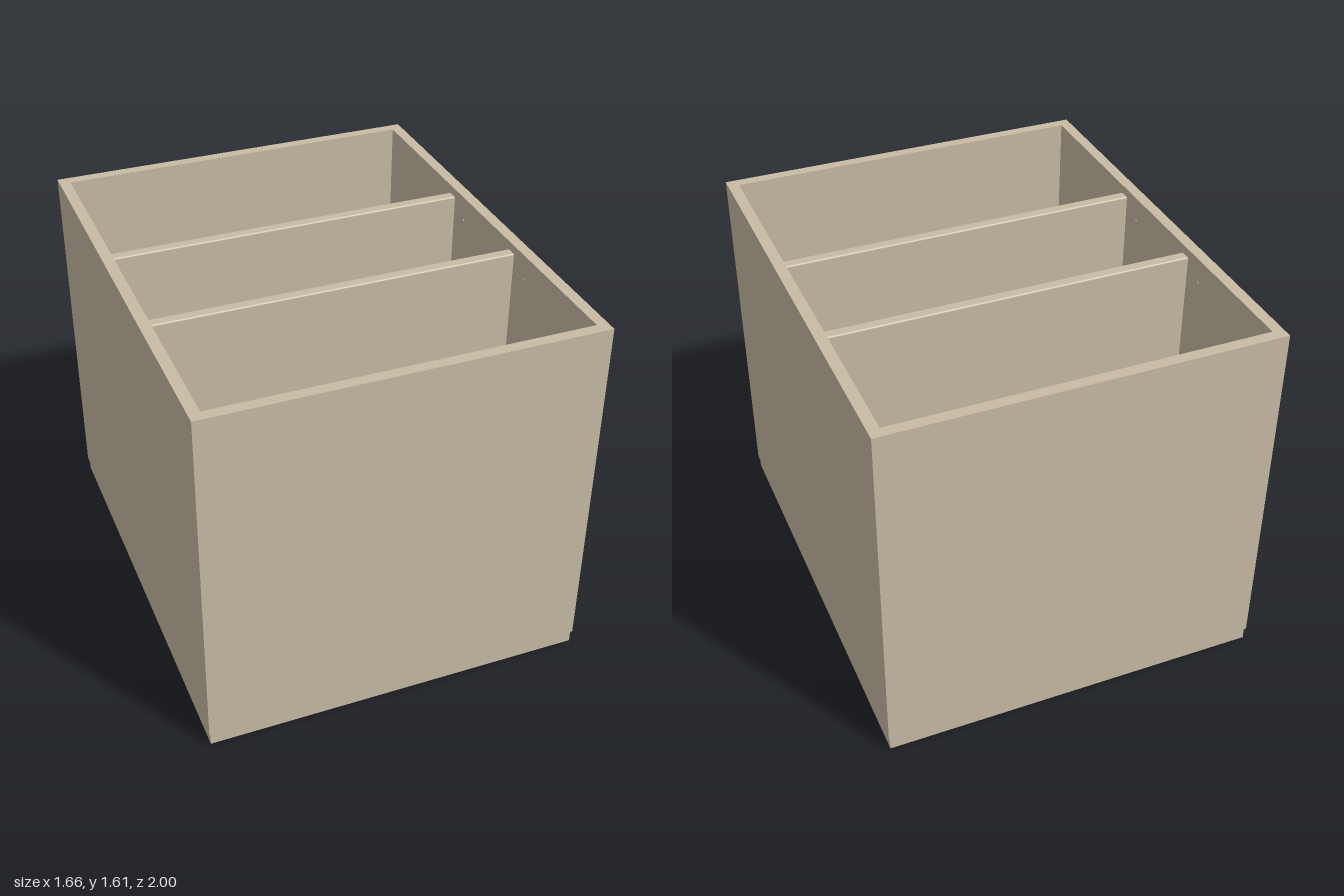
import * as THREE from 'three';
import { RoundedBoxGeometry } from 'three/addons/geometries/RoundedBoxGeometry.js';

export function createModel() {
  const group = new THREE.Group();
  const board = new THREE.MeshStandardMaterial({ color: 0xc8bba5 });
  board.name = 'beige board';

  const W = 0.832, D = 1, T = 0.048; // half width, half depth, wall thickness
  const BOTTOM = 0.057, TOP = 1.61, FLOOR = 0.105;

  const add = (name, geometry, x = 0, y = 0, z = 0) => {
    const mesh = new THREE.Mesh(geometry, board);
    mesh.name = name;
    mesh.position.set(x, y, z);
    group.add(mesh);
    return mesh;
  };

  const rectangle = (Type, w, d) => {
    const s = new Type();
    s.moveTo(-w, -d);
    s.lineTo(w, -d);
    s.lineTo(w, d);
    s.lineTo(-w, d);
    s.closePath();
    return s;
  };

  // Extrudes a plan outline upwards; plan y becomes -z
  const slab = (shape, depth) =>
    new THREE.ExtrudeGeometry(shape, { depth, bevelEnabled: false, curveSegments: 16 }).rotateX(-Math.PI / 2);

  // Base plate, slightly inset, with a thin shadow gap under the walls
  add('base', new THREE.BoxGeometry(2 * W - 0.012, 0.052, 2 * D - 0.012), 0, 0.026, 0);

  // Four outer walls as one open ring
  const ring = rectangle(THREE.Shape, W, D);
  ring.holes.push(rectangle(THREE.Path, W - T, D - T));
  add('walls', slab(ring, TOP - BOTTOM), 0, BOTTOM, 0);

  // Loose floor with two finger notches along one edge
  const w = W - T, d = D - T, r = 0.048, cx = -w + 0.018;
  const floor = new THREE.Shape();
  floor.moveTo(-w, -d);
  floor.lineTo(w, -d);
  floor.lineTo(w, d);
  floor.lineTo(-w, d);
  for (const c of [0.725, -0.72]) {
    floor.lineTo(-w, c + r);
    floor.lineTo(cx, c + r);
    floor.absarc(cx, c, r, Math.PI / 2, -Math.PI / 2, true);
    floor.lineTo(-w, c - r);
  }
  floor.closePath();
  add('floor', slab(floor, FLOOR - BOTTOM), 0, BOTTOM, 0);

  // Pull strip lying in the gap below the rear notch
  add('pullStrip', new THREE.BoxGeometry(0.1, 0.004, 0.035), -0.768, 0.0545, -0.71);

  // Two upright dividers with softened edges
  const dividerTop = 1.58;
  for (const z of [0.275, -0.283]) {
    add('divider', new RoundedBoxGeometry(2 * w - 0.004, dividerTop - FLOOR, 0.049, 2, 0.007),
      0, (dividerTop + FLOOR) / 2, z);
    // Small pins either side of each divider, on both walls
    for (const side of [-1, 1]) {
      for (const offset of [-0.11, 0.11]) {
        const pin = add('pin', new THREE.CylinderGeometry(0.006, 0.006, 0.004, 12), side * (w - 0.001), 1.505, z + offset);
        pin.rotation.z = Math.PI / 2;
      }
    }
  }

  return group;
}
